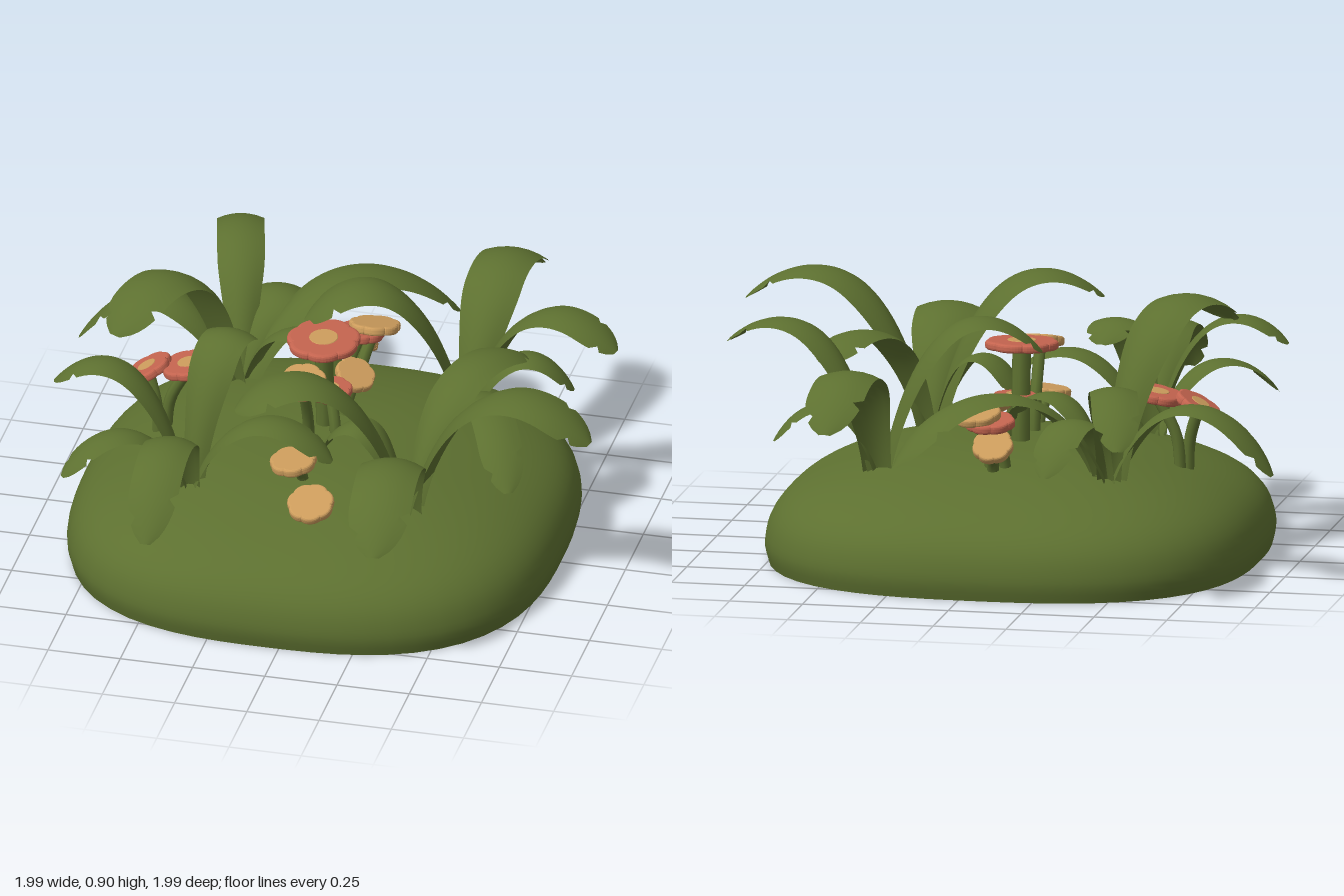
import * as THREE from 'three';
import { mergeVertices } from 'three/addons/utils/BufferGeometryUtils.js';

const material = (name, color, side = THREE.FrontSide) => {
  const m = new THREE.MeshStandardMaterial({ color, side });
  m.name = name;
  return m;
};
const V = (x, y, z) => new THREE.Vector3(x, y, z);

// Rounded-square hollow mound, open underneath
function moundGeometry() {
  const profile = new THREE.SplineCurve([
    [0.822, 0], [0.835, 0.07], [0.81, 0.16], [0.74, 0.235], [0.61, 0.3],
    [0.42, 0.355], [0.22, 0.385], [0, 0.392]
  ].map(([x, y]) => new THREE.Vector2(x, y)));
  const points = profile.getPoints(28);
  points[28].x = 0;
  const geo = new THREE.LatheGeometry(points, 64);
  const p = geo.attributes.position;
  const n = 2.7;
  for (let i = 0; i < p.count; i++) {
    const x = p.getX(i), z = p.getZ(i), a = Math.atan2(z, x);
    const k = Math.pow(Math.abs(Math.cos(a)) ** n + Math.abs(Math.sin(a)) ** n, -1 / n);
    p.setXYZ(i, x * k - 0.045, p.getY(i), z * k - 0.015);
  }
  geo.deleteAttribute('normal');
  geo.deleteAttribute('uv');
  const merged = mergeVertices(geo, 1e-4);
  merged.computeVertexNormals();
  return merged;
}

// Arching strap leaf: rounded on top, hollow beneath, with a nicked blunt tip
function leafGeometry(base, tip, peak, width) {
  const h = (peak - 0.125 * (base.y + tip.y)) / 0.75;
  const c1 = base.clone().lerp(tip, 0.2).setY(h);
  const c2 = base.clone().lerp(tip, 0.72).setY(h);
  const curve = new THREE.CubicBezierCurve3(base, c1, c2, tip);
  const side = V(tip.z - base.z, 0, base.x - tip.x).normalize();
  const rows = 36, cols = 6, pos = [], index = [];
  for (let i = 0; i <= rows; i++) {
    const t = i / rows;
    const c = curve.getPoint(t);
    const normal = curve.getTangent(t).cross(side).normalize();
    let w = width / 2 * (0.5 + 0.5 * THREE.MathUtils.smoothstep(t, 0, 0.42));
    if (t > 0.8) w *= Math.sqrt(Math.max(0.04, 1 - ((t - 0.8) / 0.2) ** 2));
    const bend = THREE.MathUtils.lerp(-0.45, -0.22, THREE.MathUtils.smoothstep(t, 0, 0.55));
    for (let j = 0; j <= cols; j++) {
      let u = j / cols * 2 - 1;
      if ((j === 0 && i === 33) || (j === cols && i === 30)) u *= 0.7;
      const q = c.clone().addScaledVector(side, u * w).addScaledVector(normal, bend * u * u * w);
      pos.push(q.x, q.y, q.z);
      if (i < rows && j < cols) {
        const a = i * (cols + 1) + j, b = a + cols + 1;
        index.push(a, a + 1, b, b, a + 1, b + 1);
      }
    }
  }
  const geo = new THREE.BufferGeometry();
  geo.setAttribute('position', new THREE.Float32BufferAttribute(pos, 3));
  geo.setIndex(index);
  geo.computeVertexNormals();
  return geo;
}

// Softly scalloped flower disc lying flat, centred on the origin
function petalGeometry(r) {
  const shape = new THREE.Shape();
  for (let i = 0; i <= 84; i++) {
    const a = i / 84 * Math.PI * 2;
    const k = r * (0.8 + 0.1 * Math.sqrt(Math.abs(Math.sin(a * 3.5))));
    if (i) shape.lineTo(Math.cos(a) * k, Math.sin(a) * k);
    else shape.moveTo(k, 0);
  }
  shape.closePath();
  const geo = new THREE.ExtrudeGeometry(shape, {
    depth: 0.01, bevelEnabled: true, bevelSize: r * 0.1, bevelThickness: 0.01, bevelSegments: 3
  });
  return geo.translate(0, 0, -0.005).rotateX(-Math.PI / 2);
}

export function createModel() {
  const green = material('moss green', 0x5d7030, THREE.DoubleSide);
  const red = material('coral red', 0xc4644f);
  const tan = material('warm tan', 0xcc9c5c);
  const model = new THREE.Group();
  const add = (parent, geo, mat, name) => {
    const mesh = new THREE.Mesh(geo, mat);
    mesh.name = name;
    parent.add(mesh);
    return mesh;
  };

  add(model, moundGeometry(), green, 'mound');

  // Each plant: root x, z, then leaves as tip x, y, z, peak height, width
  const plants = [
    { name: 'backRightPlant', root: [-0.42, -0.37], leaves: [
      [-0.58, 0.57, -1.0, 0.72, 0.16], [-1.0, 0.39, -0.45, 0.61, 0.17], [-0.72, 0.78, 0.2, 0.875, 0.21],
      [-0.28, 0.42, -0.78, 0.58, 0.16], [0.22, 0.45, -0.83, 0.66, 0.19], [-0.02, 0.46, -0.2, 0.6, 0.13]] },
    { name: 'backLeftPlant', root: [0.37, -0.34], leaves: [
      [0.43, 0.58, -0.98, 0.73, 0.2], [0.92, 0.72, -0.2, 0.79, 0.17], [-0.15, 0.72, -0.16, 0.82, 0.2],
      [0.66, 0.39, 0.26, 0.56, 0.15], [0.72, 0.43, -0.42, 0.55, 0.13]] },
    { name: 'frontLeftPlant', root: [0.33, 0.33], leaves: [
      [0.99, 0.73, 0.45, 0.83, 0.21], [0.37, 0.5, 0.99, 0.68, 0.21], [-0.21, 0.76, 0.57, 0.83, 0.21],
      [0.59, 0.66, -0.22, 0.71, 0.17], [0.0, 0.45, 0.24, 0.6, 0.14]] },
    { name: 'frontRightPlant', root: [-0.42, 0.35], leaves: [
      [-0.32, 0.72, -0.02, 0.76, 0.17], [-0.89, 0.67, 0.35, 0.74, 0.14], [-0.8, 0.45, 0.61, 0.57, 0.12],
      [-0.42, 0.44, 0.98, 0.66, 0.17], [0.08, 0.5, 0.38, 0.61, 0.15]] }
  ];
  for (const { name, root, leaves } of plants) {
    const plant = new THREE.Group();
    plant.name = name;
    model.add(plant);
    for (const [x, y, z, peak, width] of leaves) {
      const base = V(root[0], 0.29, root[1]);
      add(plant, leafGeometry(base, V(x, y, z), peak, width), green, 'leaf');
    }
  }

  // Flowers: head position, radius, forward tilt, sideways tilt, petal colour, root offset
  const flowers = [
    [-0.055, 0.715, -0.045, 0.125, 0.05, 0, red, 0, -0.02],
    [-0.52, 0.56, -0.04, 0.095, 0, 0.2, red, -0.08, 0],
    [-0.66, 0.53, -0.04, 0.085, 0, 0.5, red, 0.04, 0.02],
    [-0.03, 0.53, -0.04, 0.075, 0.05, 0, red, 0.03, 0.04],
    [-0.03, 0.53, -0.45, 0.085, -0.15, 0, red, -0.04, 0.08],
    [-0.07, 0.68, 0.19, 0.082, 0.3, 0, tan, 0, -0.1],
    [0.02, 0.56, -0.455, 0.088, -0.25, 0, tan, -0.04, 0.08],
    [-0.05, 0.46, -0.5, 0.07, -0.7, 0, tan, 0.02, 0.1],
    [0.05, 0.43, 0.56, 0.08, 0.4, 0, tan, -0.05, -0.12],
    [-0.06, 0.47, 0.36, 0.08, 0.1, 0.1, tan, 0.02, -0.08],
    [0.02, 0.52, -0.18, 0.07, 0.3, -0.4, tan, -0.03, 0.04]
  ];
  for (const [x, y, z, r, tiltX, tiltZ, petal, dx, dz] of flowers) {
    const flower = new THREE.Group();
    flower.name = 'flower';
    model.add(flower);
    const stem = new THREE.CatmullRomCurve3([
      V(x + dx, 0.27, z + dz), V(x + dx * 0.8, (y + 0.29) / 2, z + dz * 0.8), V(x, y - 0.01, z)]);
    add(flower, new THREE.TubeGeometry(stem, 10, r > 0.1 ? 0.032 : 0.02, 8), green, 'stem');
    const head = new THREE.Group();
    head.name = 'flowerHead';
    head.position.set(x, y, z);
    head.rotation.set(tiltX, 0, tiltZ);
    flower.add(head);
    add(head, petalGeometry(r), petal, 'petals');
    // Flat tan eye on the red flowers
    if (petal === red) {
      const eye = new THREE.CylinderGeometry(r * 0.38, r * 0.42, 0.006, 20);
      add(head, eye, tan, 'flowerEye').position.y = 0.014;
    }
  }
  return model;
}
